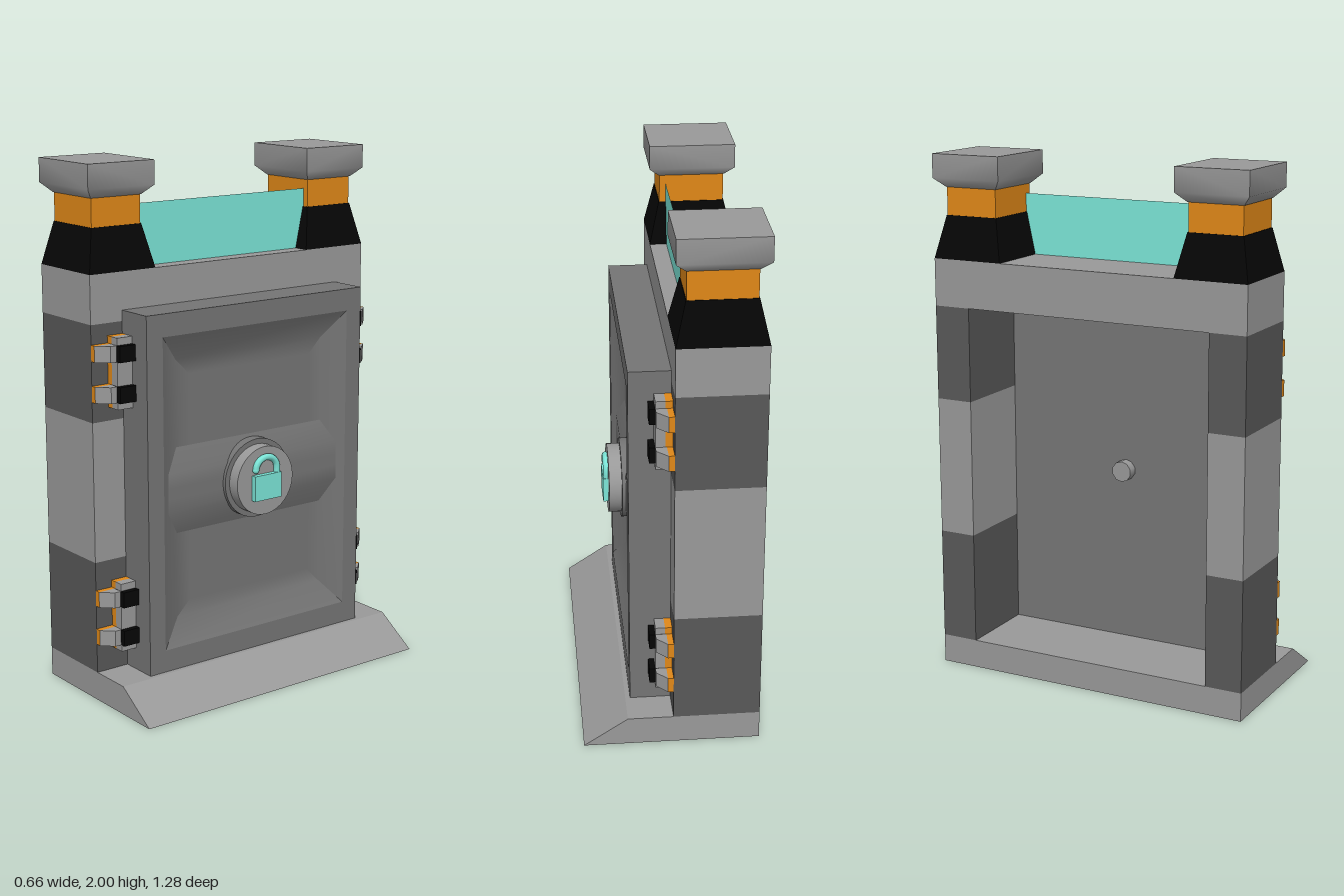
import * as THREE from 'three';

const mat = (color) => new THREE.MeshStandardMaterial({ color });
const GREY = mat(0x999999), DARK = mat(0x585858), DOOR = mat(0x757575);
const BLACK = mat(0x060606), GOLD = mat(0xe08818), TEAL = mat(0x7ce6d8);
const GLASS = TEAL.clone();
GLASS.side = THREE.DoubleSide;

function add(parent, name, geometry, material) {
  const mesh = new THREE.Mesh(geometry, material);
  mesh.name = name;
  parent.add(mesh);
  return mesh;
}

// Box given by its lower and upper limits on each axis
function block(x0, x1, y0, y1, z0, z1) {
  return new THREE.BoxGeometry(x1 - x0, y1 - y0, z1 - z0)
    .translate((x0 + x1) / 2, (y0 + y1) / 2, (z0 + z1) / 2);
}

// Rectangular cross-sections [y, width, depth] joined in order:
// smooth along each side, sharp at the four corners, closed at the last ring
function loft(rings, bottom = true) {
  const corners = [[1, 1], [1, -1], [-1, -1], [-1, 1]];
  const pos = [], idx = [];
  const put = ([y, w, d], [sx, sz]) => pos.push(sx * w / 2, y, sz * d / 2) / 3 - 1;
  for (let i = 0; i < 4; i++)
    rings.forEach((ring, r) => {
      const a = put(ring, corners[i]), b = put(ring, corners[(i + 1) % 4]);
      if (r > 0) idx.push(a - 2, b - 2, b, a - 2, b, a);
    });
  const [t] = corners.map((c) => put(rings[rings.length - 1], c));
  idx.push(t, t + 1, t + 2, t, t + 2, t + 3);
  if (bottom) {
    const [s] = corners.map((c) => put(rings[0], c));
    idx.push(s, s + 2, s + 1, s, s + 3, s + 2);
  }
  const g = new THREE.BufferGeometry();
  g.setAttribute('position', new THREE.Float32BufferAttribute(pos, 3));
  g.setIndex(idx);
  g.computeVertexNormals();
  return g;
}

const polygon = (pts) => new THREE.Shape(pts.map(([x, y]) => new THREE.Vector2(x, y)));
const extrude = (shape, depth) => new THREE.ExtrudeGeometry(shape, { depth, bevelEnabled: false });

// Disc whose axis runs along z
const disc = (r, z0, z1, y, sides) => new THREE.CylinderGeometry(r, r, z1 - z0, sides)
  .rotateX(Math.PI / 2).translate(0, y, (z0 + z1) / 2);

// Hollow threshold with a sloping front edge, open underneath
function makeBase() {
  const base = new THREE.Group();
  base.name = 'base';
  const outer = [[-0.33, 0], [-0.33, 0.11], [0.165, 0.11], [0.33, 0]];
  const inner = [[0.315, 0], [0.16, 0.103], [-0.325, 0.103], [-0.325, 0]];
  const across = (pts, x0, x1) => extrude(polygon(pts), x1 - x0).rotateY(-Math.PI / 2).translate(x1, 0, 0);
  add(base, 'baseShell', across([...outer, ...inner], -0.635, 0.635), GREY);
  add(base, 'baseEnd', across(outer, 0.635, 0.64), GREY);
  add(base, 'baseEnd', across(outer, -0.64, -0.635), GREY);
  return base;
}

// Banded post with a black collar, gold neck and flared cap
function makePost() {
  const post = new THREE.Group();
  post.name = 'post';
  [[0.11, 0.54, DARK], [0.54, 1.07, GREY], [1.07, 1.43, DARK]].forEach(([y0, y1, m]) =>
    add(post, 'postBand', block(0.495, 0.64, y0, y1, -0.33, -0.006), m));
  const top = new THREE.Group();
  top.name = 'postTop';
  top.position.set(0.498, 0, -0.168);
  add(top, 'collar', loft([[1.61, 0.284, 0.324], [1.77, 0.215, 0.25]]), BLACK);
  add(top, 'neck', loft([[1.77, 0.21, 0.245], [1.875, 0.21, 0.245]]), GOLD);
  add(top, 'cap', loft([[1.875, 0.215, 0.25], [1.91, 0.284, 0.324], [2, 0.284, 0.324]]), GREY);
  post.add(top);
  return post;
}

// Hinge: upright plate with two strapped arms
function makeHinge(y) {
  const hinge = new THREE.Group();
  hinge.name = 'hinge';
  hinge.position.y = y;
  add(hinge, 'hingeBacking', block(0.5, 0.57, -0.132, 0.132, -0.006, 0.02), GOLD);
  add(hinge, 'hingePlate', block(0.5, 0.57, -0.132, 0.132, 0.02, 0.056), GREY);
  const arm = polygon([[0.57, 0.015], [0.64, 0.015], [0.598, 0.056], [0.57, 0.056]]);
  for (const c of [-0.075, 0.075]) {
    add(hinge, 'hingeArmBase', block(0.57, 0.64, c - 0.03, c + 0.03, -0.006, 0.015), GOLD);
    add(hinge, 'hingeArm', extrude(arm, 0.06).rotateX(Math.PI / 2).translate(0, c + 0.03, 0), GREY);
    add(hinge, 'hingeStrap', block(0.505, 0.573, c - 0.03, c + 0.03, 0.022, 0.078), BLACK);
  }
  return hinge;
}

function makeDoor() {
  const door = new THREE.Group();
  door.name = 'door';
  const floor = 0.098, face = 0.147, w = 0.87, y0 = 0.195, y1 = 1.385, y = 0.79;
  add(door, 'doorSlab', block(-0.505, 0.505, 0.04, 1.47, -0.006, floor - 0.004), DOOR);

  // Front frame around one large sunken panel
  const frame = polygon([[-0.505, 0.04], [0.505, 0.04], [0.505, 1.47], [-0.505, 1.47]]);
  frame.holes.push(polygon([[-w / 2, y0], [-w / 2, y1], [w / 2, y1], [w / 2, y0]]));
  add(door, 'doorFrame', extrude(frame, face - floor + 0.004).translate(0, 0, floor - 0.004), DOOR);
  const h = y1 - y0;
  const panel = loft([[face, w, h], [floor, w - 0.18, h - 0.2], [floor, w - 0.3, h - 0.32]], false);
  add(door, 'sunkenPanel', panel.rotateX(Math.PI / 2).translate(0, y, 0), DOOR);

  // Softly sloped crossbar with a round boss
  const bar = loft([[floor, 0.83, 0.33], [0.13, 0.83, 0.15], [0.13, 0.83, 0.04]], false);
  add(door, 'crossbar', bar.rotateX(Math.PI / 2).translate(0, y, 0), DOOR);
  add(door, 'boss', disc(0.153, floor, face - 0.003, y, 40), DOOR);
  add(door, 'lockPlate', disc(0.133, face - 0.004, 0.192, y, 40), GREY);
  add(door, 'innerKnob', disc(0.04, -0.045, -0.006, y, 10), GREY);

  // Open padlock emblem
  add(door, 'padlockBody', block(-0.063, 0.063, 0.72, 0.818, 0.185, 0.212), TEAL);
  const path = [new THREE.Vector3(0.05, 0.81, 0.198)];
  for (let i = 0; i <= 8; i++) {
    const a = i / 8 * Math.PI;
    path.push(new THREE.Vector3(0.05 * Math.cos(a), 0.838 + 0.045 * Math.sin(a), 0.198));
  }
  add(door, 'padlockShackle', new THREE.TubeGeometry(new THREE.CatmullRomCurve3(path), 32, 0.013, 8), TEAL);
  add(door, 'shackleTip', new THREE.SphereGeometry(0.013, 10, 8).translate(-0.05, 0.838, 0.198), TEAL);
  return door;
}

export function createModel() {
  const model = new THREE.Group();
  model.name = 'doorway';
  model.add(makeBase(), makeDoor());
  for (const side of [1, -1]) {
    const half = new THREE.Group();
    half.name = side > 0 ? 'rightHalf' : 'leftHalf';
    half.add(makePost(), makeHinge(1.2525), makeHinge(0.3275));
    half.scale.x = side;
    model.add(half);
  }
  add(model, 'lintel', block(-0.64, 0.64, 1.43, 1.61, -0.33, -0.006), GREY);
  add(model, 'screen', new THREE.PlaneGeometry(0.79, 0.23).translate(0, 1.725, -0.07), GLASS);

  // The door looks towards +x
  model.rotation.y = Math.PI / 2;
  const root = new THREE.Group();
  root.name = 'gate';
  root.add(model);
  return root;
}
